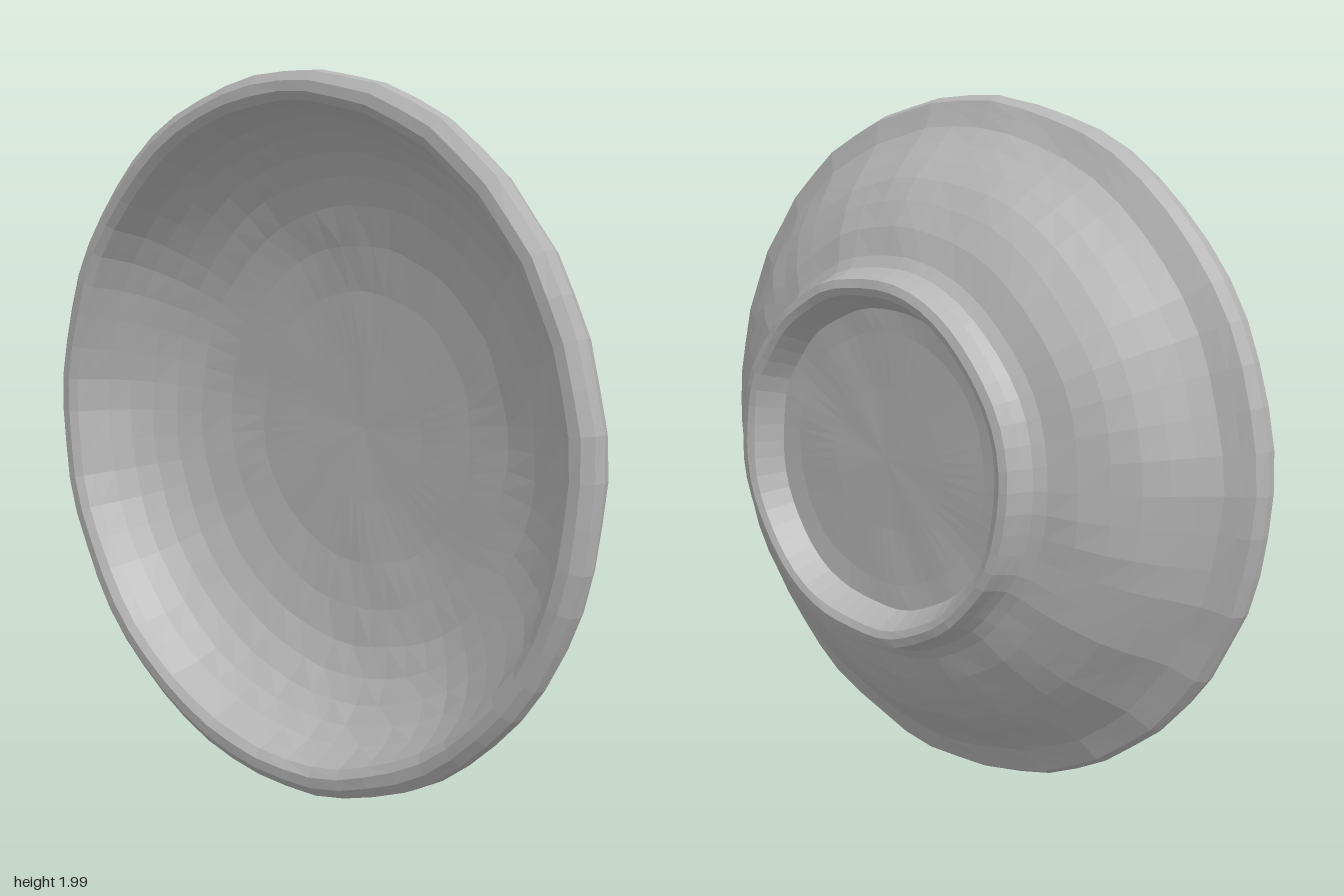
import * as THREE from 'three';

const clay = new THREE.MeshStandardMaterial({ color: 0xb4b4b4, flatShading: true });
clay.name = 'grey clay';

// Smooth position-based noise, so neighbouring parts stay joined
function wobble(x, y, z, s) {
  return (Math.sin(x * 13.1 + y * 7.7 + s) + Math.sin(y * 17.3 - z * 11.9 + s * 2.3)
    + Math.sin(x * 23.7 - y * 19.1 + z * 9.1 + s * 3.1)) / 3;
}

// Turn a [radius, depth] profile about the z axis and roughen it by hand-made unevenness
function turned(name, profile, amount) {
  const geo = new THREE.LatheGeometry(profile.map(([r, d]) => new THREE.Vector2(r, d)), 56);
  geo.rotateX(Math.PI / 2);
  const p = geo.attributes.position;
  for (let i = 0; i < p.count; i++) {
    const x = p.getX(i), y = p.getY(i), z = p.getZ(i);
    const r = Math.hypot(x, y);
    if (r < 0.01) continue;
    const k = 1 + (amount * wobble(x, y, z, 1)) / r;
    const nr = Math.min(r * k, 1);
    p.setXYZ(i, (x / r) * nr, (y / r) * nr,
      THREE.MathUtils.clamp(z + amount * 0.6 * wobble(x, y, z, 4), -0.25, 0.245));
  }
  geo.computeVertexNormals();
  const mesh = new THREE.Mesh(geo, clay);
  mesh.name = name;
  return mesh;
}

export function createModel() {
  const group = new THREE.Group();
  group.name = 'bowl';

  const bowl = new THREE.Group();
  bowl.name = 'bowlBody';
  bowl.position.y = 1;

  // Recessed underside and the ring it stands on
  bowl.add(turned('footRing', [
    [0, -0.155], [0.2, -0.155], [0.36, -0.155], [0.425, -0.16], [0.445, -0.2], [0.465, -0.24],
    [0.485, -0.249], [0.508, -0.242], [0.52, -0.2], [0.535, -0.17], [0.565, -0.148],
  ], 0.006));

  // Rounded outside wall
  bowl.add(turned('outerWall', [
    [0.565, -0.148], [0.64, -0.118], [0.71, -0.075], [0.77, -0.03], [0.82, 0.02],
    [0.865, 0.07], [0.91, 0.115], [0.95, 0.135],
  ], 0.006));

  // Thick rolled lip
  bowl.add(turned('rim', [
    [0.95, 0.135], [0.982, 0.15], [0.997, 0.185], [0.992, 0.22], [0.965, 0.24],
    [0.935, 0.242], [0.912, 0.225], [0.9, 0.19],
  ], 0.006));

  // Hollow inside
  bowl.add(turned('innerBasin', [
    [0.9, 0.19], [0.875, 0.13], [0.835, 0.075], [0.785, 0.025], [0.72, -0.02],
    [0.64, -0.055], [0.53, -0.08], [0.4, -0.095], [0.22, -0.102], [0, -0.105],
  ], 0.006));

  group.add(bowl);
  return group;
}
